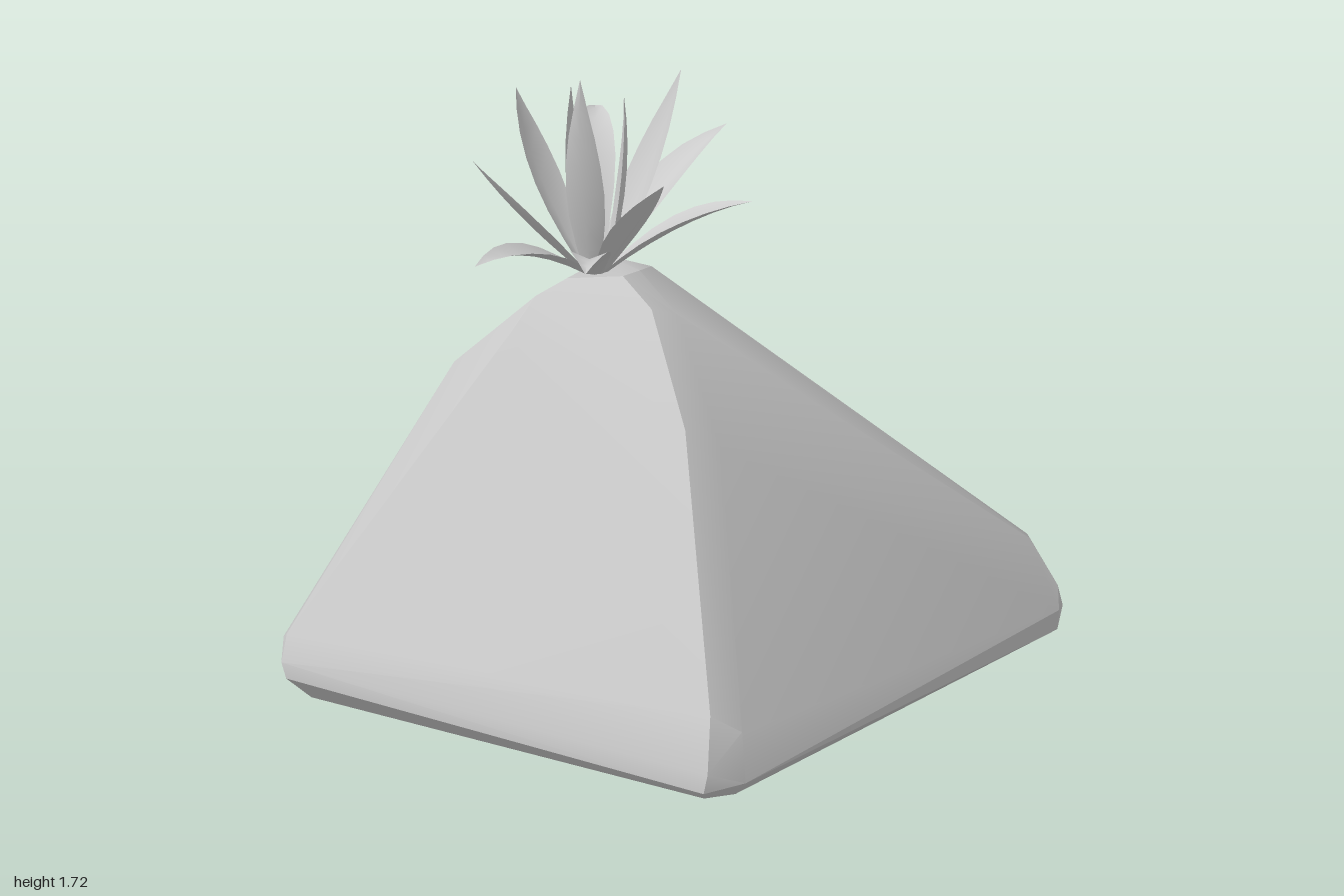
import * as THREE from 'three';
import { ConvexGeometry } from 'three/addons/geometries/ConvexGeometry.js';
import { mergeVertices, toCreasedNormals } from 'three/addons/utils/BufferGeometryUtils.js';

const grey = () => new THREE.MeshStandardMaterial({ color: 0xcccccc, side: THREE.DoubleSide });
const vec = (p) => new THREE.Vector3(...p);

// Tilted pyramid with blunted corners: each group of points rounds one corner
function makeBody() {
  const corners = {
    left: [[-0.92, 0.16, 0.08], [-0.99, 0.23, 0.11], [-1, 0.27, 0.1], [-0.98, 0.33, 0.07], [-0.97, 0.29, -0.01], [-0.93, 0.19, -0.03]],
    front: [[-0.1, 0.14, 0.84], [-0.11, 0.17, 0.88], [-0.1, 0.22, 0.88], [-0.08, 0.35, 0.82], [0, 0.18, 0.86], [0, 0.3, 0.82], [-0.02, 0.14, 0.83]],
    right: [[0.75, 0.03, -0.04], [0.88, 0.06, -0.08], [0.98, 0.11, -0.04], [0.98, 0.17, -0.02], [1, 0.16, -0.07], [0.99, 0.21, -0.08], [0.94, 0.3, -0.2], [0.93, 0.32, -0.13], [0.94, 0.15, -0.21]],
    back: [[-0.16, 0.005, -0.83], [-0.16, 0.04, -0.87], [-0.15, 0.1, -0.885], [-0.25, 0.11, -0.86], [-0.2, 0.4, -0.8], [-0.23, 0.02, -0.82]],
    frontRidge: [[-0.04, 0.91, 0.35], [0.05, 0.85, 0.34], [-0.07, 1.13, 0.1], [0, 1.1, 0.08]],
    backRidge: [[-0.12, 0.95, -0.42], [-0.1, 1.08, -0.3], [-0.5, 0.9, -0.2]],
    top: [[-0.4, 1.05, -0.01], [-0.33, 1.13, -0.04], [-0.25, 1.165, -0.05], [-0.12, 1.18, 0], [-0.1, 1.12, -0.26], [0, 1.1, -0.22], [0.04, 1.06, -0.08], [-0.06, 1.155, -0.08]],
  };
  let geo = new ConvexGeometry(Object.values(corners).flat().map(vec));
  geo.deleteAttribute('normal');
  geo = toCreasedNormals(mergeVertices(geo, 1e-4), 0.45);
  const body = new THREE.Mesh(geo, grey());
  body.name = 'body';
  return body;
}

// Pointed leaf with a shallow fold, swept along a bent midrib
function makeLeaf(tipPoint, width, reach, rise) {
  const crown = new THREE.Vector3(-0.17, 1.16, -0.09);
  const tip = vec(tipPoint);
  const out = tip.clone().sub(crown).setY(0);
  const length = out.length();
  out.normalize();
  const base = crown.clone().addScaledVector(out, 0.03);
  const control = base.clone().addScaledVector(out, length * reach);
  control.y += (tip.y - base.y) * rise;
  const curve = new THREE.QuadraticBezierCurve3(base, control, tip);
  const side = new THREE.Vector3(0, 1, 0).cross(out);
  const profile = [0.4, 0.7, 0.93, 1, 0.9, 0.68, 0.36, 0.01];
  const positions = [], index = [];
  profile.forEach((w, i) => {
    const t = i / (profile.length - 1);
    const p = curve.getPoint(t);
    const fold = curve.getTangent(t).cross(side).normalize().multiplyScalar(w * width * 0.2);
    for (const s of [-1, 0, 1]) {
      const q = p.clone().addScaledVector(side, (s * w * width) / 2);
      if (s) q.add(fold);
      positions.push(q.x, q.y, q.z);
    }
    if (i) {
      for (const k of [0, 1]) {
        const a = (i - 1) * 3 + k, b = a + 3;
        index.push(a, a + 1, b, a + 1, b + 1, b);
      }
    }
  });
  const geo = new THREE.BufferGeometry();
  geo.setAttribute('position', new THREE.Float32BufferAttribute(positions, 3));
  geo.setIndex(index);
  geo.computeVertexNormals();
  const leaf = new THREE.Mesh(geo, grey());
  leaf.name = 'leaf';
  return leaf;
}

export function createModel() {
  const model = new THREE.Group();
  model.name = 'pyramidFruit';
  model.add(makeBody());

  // Leaf tuft: tip, width, and how far the midrib bends outward and upward
  const leaves = [
    [[-0.52, 1.3, 0.13], 0.1, 0.55, 1.15],
    [[-0.28, 1.33, 0.3], 0.1, 0.55, 1.1],
    [[-0.07, 1.52, 0.24], 0.1, 0.55, 0.6],
    [[0.18, 1.4, 0.11], 0.11, 0.5, 0.75],
    [[0.19, 1.46, -0.23], 0.11, 0.5, 0.75],
    [[-0.1, 1.46, -0.41], 0.1, 0.4, 1.25],
    [[-0.33, 1.59, -0.27], 0.1, 0.8, 0.6],
    [[-0.49, 1.51, -0.03], 0.1, 0.55, 0.5],
    [[-0.23, 1.72, 0.01], 0.1, 0.9, 0.5],
    [[0.07, 1.63, -0.2], 0.1, 0.6, 0.5],
    [[-0.1, 1.63, -0.08], 0.09, 1, 0.5],
    [[-0.22, 1.64, -0.14], 0.08, 1, 0.5],
  ];
  const tuft = new THREE.Group();
  tuft.name = 'leafTuft';
  leaves.forEach((l) => tuft.add(makeLeaf(...l)));
  model.add(tuft);
  return model;
}
